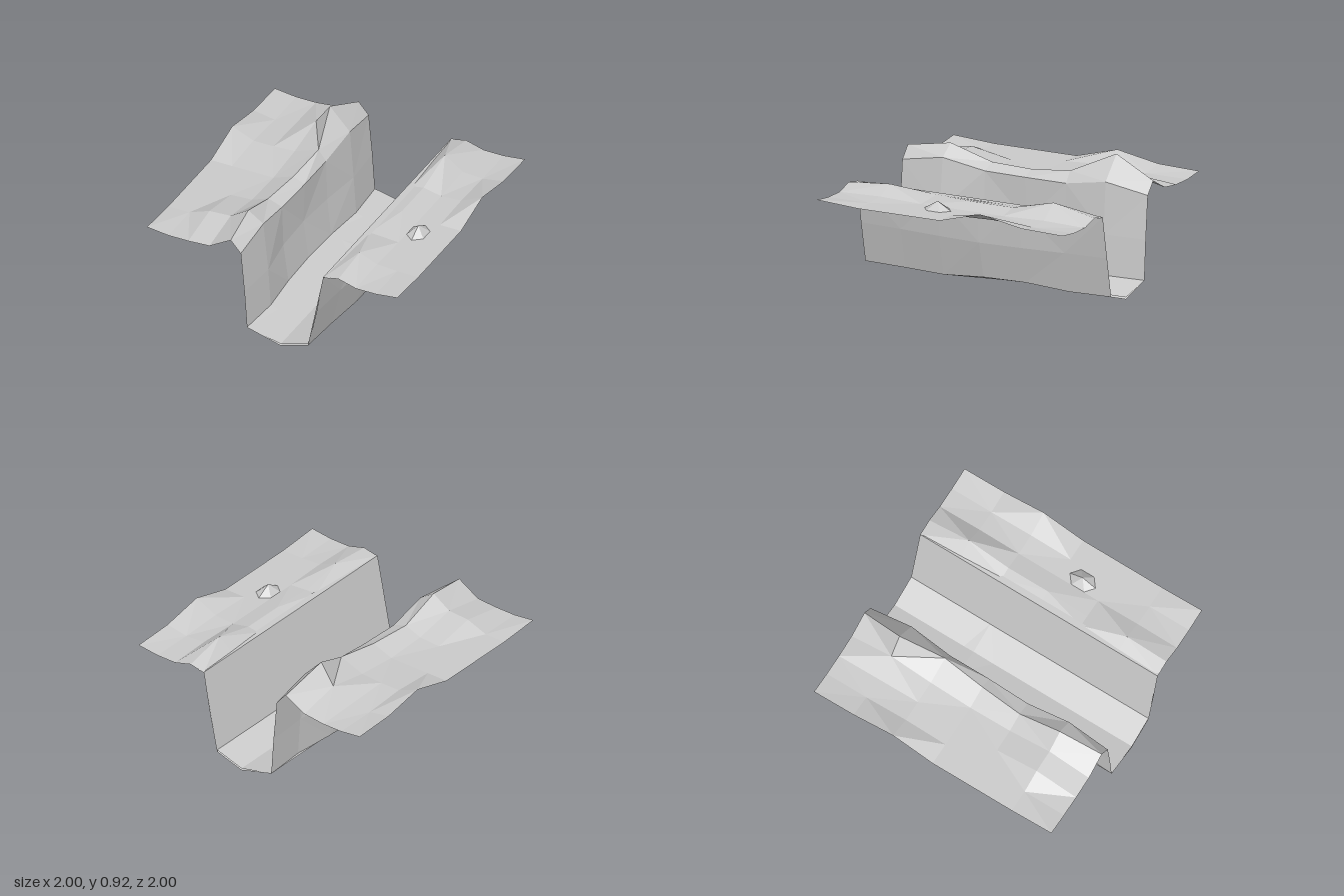
import * as THREE from 'three';

const material = new THREE.MeshStandardMaterial({ color: 0xcccccc, flatShading: true, side: THREE.DoubleSide });

// Skin a sheet over rows of [x, y] points, spread evenly from z = -1 to z = 1
function sheet(name, rows) {
  const positions = [], index = [], cols = rows[0].length;
  rows.forEach((row, i) => {
    const z = -1 + (2 * i) / (rows.length - 1);
    row.forEach(([x, y]) => positions.push(x, y, z));
  });
  for (let i = 0; i < rows.length - 1; i++) {
    for (let j = 0; j < cols - 1; j++) {
      const a = i * cols + j, b = a + 1, c = a + cols, d = c + 1;
      if ((i + j) % 2) index.push(a, c, b, b, c, d);
      else index.push(a, c, d, a, d, b);
    }
  }
  const geometry = new THREE.BufferGeometry();
  geometry.setAttribute('position', new THREE.Float32BufferAttribute(positions, 3));
  geometry.setIndex(index);
  geometry.computeVertexNormals();
  const mesh = new THREE.Mesh(geometry, material);
  mesh.name = name;
  return mesh;
}

export function createModel() {
  const group = new THREE.Group();
  group.name = 'canyon';

  // Heights per row, back to front, over fixed columns
  const leftX = [-1, -0.83, -0.67, -0.5];
  const leftY = [
    [0.69, 0.67, 0.67, 0.69],
    [0.70, 0.67, 0.68, 0.76],
    [0.76, 0.69, 0.69, 0.70],
    [0.67, 0.67, 0.67, 0.67],
    [0.67, 0.67, 0.67, 0.68],
    [0.67, 0.67, 0.73, 0.74],
    [0.69, 0.67, 0.67, 0.68],
  ];
  // Raised crest beside the drop
  const crest = [[-0.33, 0.78], [-0.39, 0.92], [-0.31, 0.77], [-0.34, 0.73], [-0.37, 0.73], [-0.36, 0.83], [-0.33, 0.78]];

  const rightX = [0.53, 0.67, 0.83, 1];
  const rightY = [
    [0.71, 0.67, 0.67, 0.69],
    [0.78, 0.68, 0.67, 0.70],
    [0.70, 0.67, 0.68, 0.76],
    [0.70, 0.67, 0.67, 0.67],
    [0.68, 0.67, 0.67, 0.67],
    [0.74, 0.68, 0.67, 0.67],
    [0.71, 0.67, 0.67, 0.69],
  ];

  // Offsets that wander the channel walls along its length
  const leftTop = [-0.25, -0.23, -0.25, -0.25, -0.26, -0.24, -0.25];
  const leftMid = [-0.22, -0.2, -0.24, -0.26, -0.25, -0.2, -0.22];
  const leftFoot = [-0.2, -0.18, -0.21, -0.22, -0.21, -0.18, -0.2];
  const bulge = [0, 0.02, 0.05, 0.07, 0.05, 0.02, 0];
  const footY = [0.07, 0.07, 0.1, 0.1, 0.07, 0.07, 0.07];
  const floorY = [0, 0, 0.02, 0.01, 0, 0, 0];
  const lipX = (i) => 0.41 + bulge[i] * 0.6;

  group.add(sheet('leftPlateau', leftY.map((ys, i) => [
    ...ys.map((y, j) => [leftX[j], y]), crest[i], [leftTop[i], i === 1 || i === 5 ? 0.75 : 0.69],
  ])));
  group.add(sheet('rightPlateau', rightY.map((ys, i) => [
    [lipX(i), 0.685], ...ys.map((y, j) => [rightX[j], y]),
  ])));

  // Weathered channel
  group.add(sheet('channel', bulge.map((b, i) => [
    [leftTop[i], i === 1 || i === 5 ? 0.75 : 0.69],
    [leftMid[i], 0.37],
    [leftFoot[i], 0.075],
    [0.07, floorY[i]],
    [0.29 + b, footY[i]],
    [0.355 + b, 0.37],
    [lipX(i), 0.685],
  ])));

  // Straight lining of the floor and right wall
  const lining = [[-0.2, 0.075], [0.07, 0.015], [0.29, 0.085], [0.41, 0.69], [0.46, 0.69]];
  group.add(sheet('channelLining', [lining, lining]));

  // Small mound on the right plateau
  const mound = new THREE.Mesh(new THREE.ConeGeometry(0.08, 0.065, 6, 2, true), material);
  mound.name = 'mound';
  mound.position.set(0.74, 0.7, 0.16);
  mound.scale.z = 1.4;
  group.add(mound);

  return group;
}
